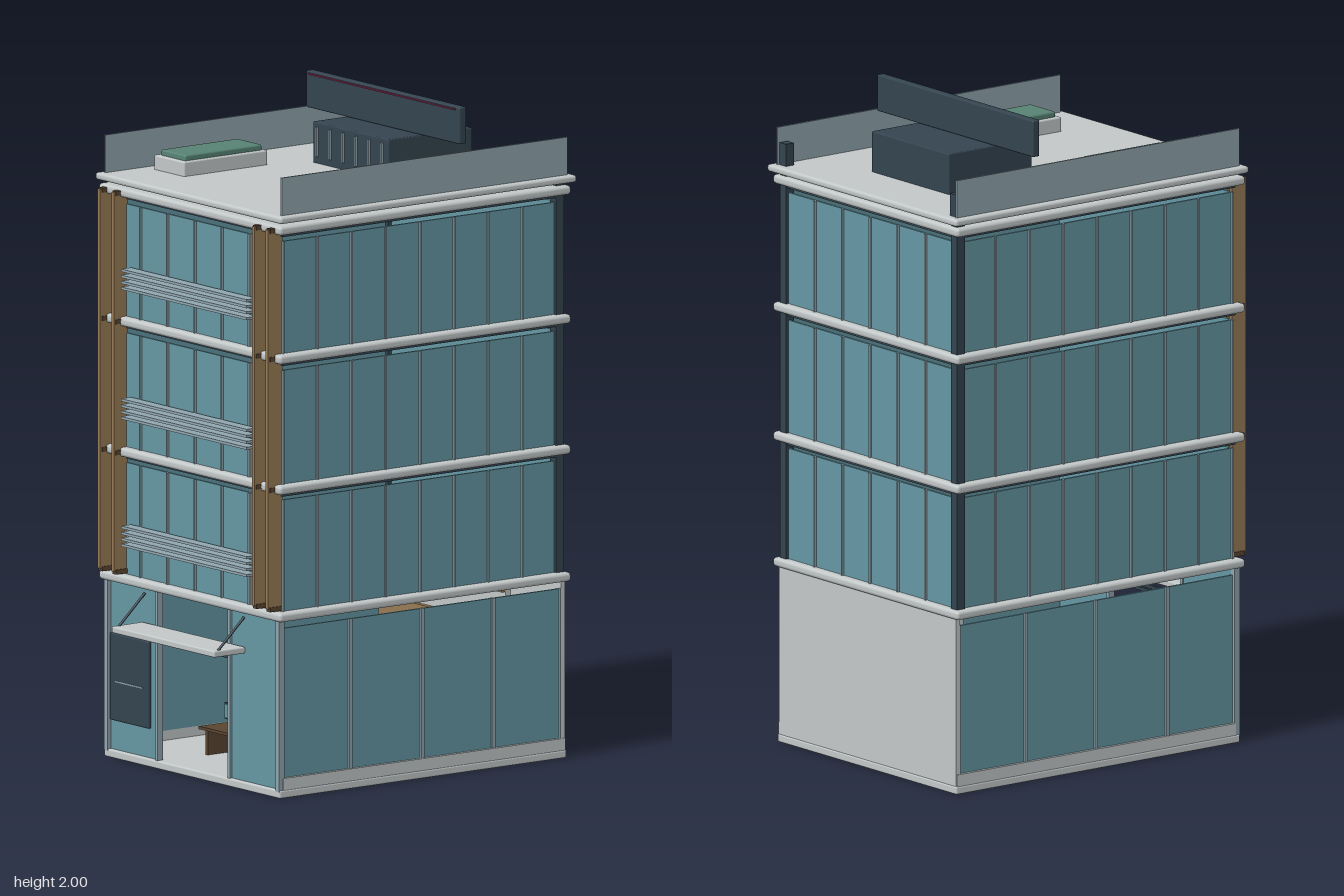
import * as THREE from 'three';
import { RoundedBoxGeometry } from 'three/addons/geometries/RoundedBoxGeometry.js';

const mat = (name, color) => {
  const m = new THREE.MeshStandardMaterial({ color });
  m.name = name;
  return m;
};

export function createModel() {
  const concrete = mat('pale concrete', 0xc3c8c9);
  const glass = mat('teal glass', 0x6597a3);
  const navy = mat('dark navy metal', 0x344450);
  const wood = mat('timber', 0x977b56);
  const steel = mat('blue grey steel', 0x91a6b0);
  const green = mat('planting green', 0x578374);
  const accent = mat('plum accent', 0x7a3050);
  const brown = mat('dark brown', 0x5a4632);

  const model = new THREE.Group();
  model.name = 'officeBuilding';

  // Box given by its minimum and maximum on each axis
  const box = (name, m, x0, x1, y0, y1, z0, z1, round = 0) => {
    const s = [x1 - x0, y1 - y0, z1 - z0];
    const g = round ? new RoundedBoxGeometry(...s, 2, round) : new THREE.BoxGeometry(...s);
    const mesh = new THREE.Mesh(g, m);
    mesh.position.set((x0 + x1) / 2, (y0 + y1) / 2, (z0 + z1) / 2);
    mesh.name = name;
    model.add(mesh);
    return mesh;
  };
  // Same box on both sides of x = 0
  const pair = (name, m, x0, x1, ...rest) => {
    box(name + 'Left', m, x0, x1, ...rest);
    box(name + 'Right', m, -x1, -x0, ...rest);
  };

  // Base and floor slabs
  box('base', concrete, -0.43, 0.43, 0, 0.025, -0.58, 0.495, 0.006);
  pair('sidePlinth', concrete, 0.412, 0.428, 0.02, 0.06, -0.575, 0.48);
  [0.535, 0.92, 1.315, 1.705].forEach((y, i) => {
    box('floorSlab', concrete, -0.445, 0.445, y, y + 0.028, -0.587, 0.505, 0.011);
    if (i) box('slabSoffit', navy, -0.425, 0.425, y - 0.008, y + 0.004, -0.57, 0.48);
  });
  box('roofSlab', concrete, -0.455, 0.455, 1.742, 1.764, -0.6, 0.51, 0.009);

  // Glazed upper storeys with mullions
  for (const [y0, y1] of [[0.555, 0.9], [0.945, 1.292], [1.34, 1.682]]) {
    pair('sideGlass', glass, 0.408, 0.416, y0, y1, -0.555, 0.48);
    box('frontGlass', glass, -0.416, 0.416, y0, y1, 0.472, 0.48);
    box('backGlass', glass, -0.416, 0.416, y0, y1, -0.563, -0.555);
    for (let i = -3; i <= 3; i++) {
      const x = i * 0.133;
      box('frontMullion', steel, x - 0.003, x + 0.003, y0, y1, 0.48, 0.487);
      box('backMullion', steel, x - 0.003, x + 0.003, y0, y1, -0.57, -0.563);
    }
    for (let i = 0; i <= 8; i++) {
      const z = -0.55 + i * 0.128;
      pair('sideMullion', steel, 0.416, 0.422, y0, y1, z - 0.003, z + 0.003);
    }
  }

  // Dark rear corner columns
  pair('rearColumn', navy, 0.395, 0.425, 0.55, 1.745, -0.573, -0.543);

  // Timber fins on the front corners
  for (const x of [0.343, 0.41]) pair('timberFin', wood, x - 0.006, x + 0.006, 0.575, 1.722, 0.475, 0.528);
  for (const x of [0.343, 0.41]) {
    for (const y of [0.573, 0.934, 1.33, 1.718]) {
      pair('finBracket', brown, x - 0.009, x + 0.009, y - 0.007, y + 0.007, 0.48, 0.522);
    }
  }

  // Horizontal louvres, four to a storey
  for (const y of [0.66, 1.045, 1.437]) {
    for (let i = 0; i < 4; i++) box('louvre', steel, -0.307, 0.307, y + i * 0.018 - 0.004, y + i * 0.018 + 0.004, 0.487, 0.525);
  }

  // Ground storey glazing, frames and solid rear wall
  box('rearWall', concrete, -0.425, 0.425, 0.02, 0.54, -0.577, -0.562);
  pair('groundSideGlass', glass, 0.41, 0.418, 0.055, 0.512, -0.562, 0.48);
  pair('shopGlass', glass, 0.175, 0.418, 0.025, 0.535, 0.475, 0.483);
  pair('cornerPost', steel, 0.41, 0.427, 0.02, 0.538, 0.475, 0.496);
  pair('doorPost', steel, 0.17, 0.182, 0.02, 0.538, 0.472, 0.492);
  for (const z of [-0.565, -0.31, -0.045, 0.225]) {
    pair('groundSideMullion', steel, 0.415, 0.425, 0.05, 0.514, z - 0.006, z + 0.006);
  }
  for (const z of [-0.36, -0.15, 0.06, 0.27]) pair('downlight', navy, 0.28, 0.31, 0.51, 0.536, z - 0.008, z + 0.008);

  // Display board beside the entrance
  box('displayBoard', navy, -0.4, -0.21, 0.115, 0.38, 0.483, 0.497, 0.005);
  box('displayLine', steel, -0.37, -0.235, 0.233, 0.237, 0.496, 0.499);

  // Lobby: panelled wall, desk and monitor
  box('lobbyWall', concrete, -0.3, 0.3, 0.025, 0.525, -0.47, -0.45);
  box('lobbyPanel', wood, -0.3, 0.3, 0.195, 0.4, -0.45, -0.435);
  box('lobbyTrim', wood, -0.3, 0.3, 0.497, 0.522, -0.45, -0.435);
  for (const y of [0.388, 0.402]) box('doorHeader', navy, -0.17, 0.17, y - 0.005, y + 0.005, 0.47, 0.48);
  box('deskTop', brown, -0.168, 0.05, 0.103, 0.112, 0.2, 0.34);
  for (const x of [-0.16, 0.015]) box('deskLeg', brown, x, x + 0.01, 0.025, 0.103, 0.22, 0.32);
  box('monitorFrame', navy, -0.15, -0.068, 0.128, 0.178, 0.25, 0.258);
  box('monitorScreen', glass, -0.146, -0.072, 0.132, 0.174, 0.258, 0.261);
  box('monitorStand', navy, -0.114, -0.104, 0.112, 0.13, 0.25, 0.258);

  // Entrance canopy on tie rods
  box('canopy', concrete, -0.253, 0.25, 0.412, 0.432, 0.485, 0.603, 0.005);
  for (const x of [-0.242, 0.242]) {
    const a = new THREE.Vector3(x, 0.43, 0.583), b = new THREE.Vector3(x, 0.52, 0.485);
    const rod = new THREE.Mesh(new THREE.TubeGeometry(new THREE.LineCurve3(a, b), 1, 0.004, 6), navy);
    rod.name = 'canopyRod';
    model.add(rod);
  }

  // Roof: side parapets, posts and planters
  pair('parapet', steel, 0.427, 0.433, 1.76, 1.878, -0.58, 0.49);
  pair('roofPost', navy, 0.393, 0.423, 1.76, 1.832, -0.575, -0.545);
  pair('planter', concrete, 0.235, 0.383, 1.76, 1.808, 0.03, 0.343, 0.005);
  pair('planting', green, 0.247, 0.367, 1.8, 1.825, 0.042, 0.33, 0.006);

  // Rooftop plant unit with front ribs
  box('plantUnit', navy, -0.185, 0.185, 1.76, 1.888, -0.415, -0.1, 0.004);
  for (let i = 0; i < 6; i++) {
    const x = -0.16 + i * 0.0635;
    box('plantRib', steel, x - 0.003, x + 0.003, 1.785, 1.875, -0.101, -0.092);
  }

  // Rooftop board with a thin accent strip
  box('roofBoard', navy, -0.375, 0.375, 1.888, 2, -0.246, -0.22, 0.005);
  box('accentStrip', accent, -0.355, 0.355, 1.99, 1.994, -0.221, -0.212);

  return model;
}
